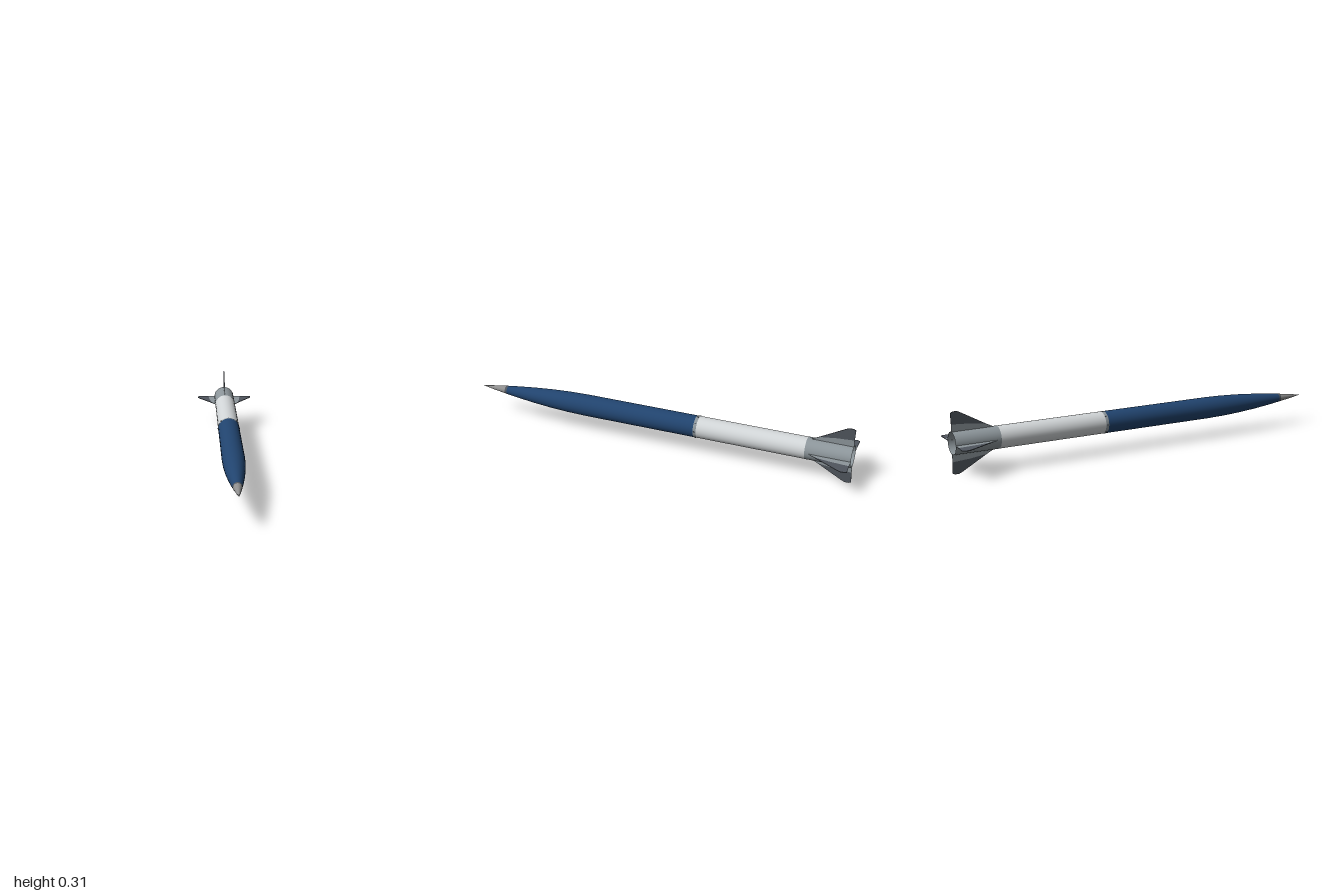
import * as THREE from 'three';

const AXIS_Y = 0.153, R = 0.0555;

const paint = (name, color, side = THREE.FrontSide) => {
  const m = new THREE.MeshStandardMaterial({ color, side });
  m.name = name;
  return m;
};

export function createModel() {
  const blue = paint('navy blue', 0x21446f);
  const white = paint('off white', 0xd2d6d8);
  const steel = paint('steel grey', 0x8d969b, THREE.DoubleSide);
  const tipGrey = paint('nose grey', 0x8f8f8f);
  const dark = paint('dark grey', 0x50565e);

  const model = new THREE.Group();
  model.name = 'rocket';
  const body = new THREE.Group();
  body.name = 'rocketBody';
  body.position.y = AXIS_Y;
  model.add(body);

  const add = (name, geometry, material, parent = body) => {
    const mesh = new THREE.Mesh(geometry, material);
    mesh.name = name;
    parent.add(mesh);
    return mesh;
  };
  // Turned part along z, from [radius, z] points running tail to nose
  const turned = (name, points, material) =>
    add(name, new THREE.LatheGeometry(points.map(([r, z]) => new THREE.Vector2(r, z)), 40)
      .rotateX(Math.PI / 2), material);

  // Nose tip, its dark collar and the tapering front stage
  turned('noseTip', [[0.0205, 0.865], [0.011, 0.935], [0, 1]], tipGrey);
  turned('noseCollar', [[0.0225, 0.853], [0.021, 0.865], [0.0195, 0.866]], dark);
  turned('frontStage', [[R, -0.2], [R, 0.3], [R, 0.4], [0.0533, 0.5], [0.048, 0.6],
    [0.0398, 0.7], [0.029, 0.8], [0.0215, 0.858]], blue);

  // Stage joint with studs around it
  turned('stageJoint', [[R, -0.214], [0.0562, -0.211], [0.0562, -0.201], [R, -0.198]], steel);
  for (let i = 0; i < 8; i++) {
    const a = i * Math.PI / 4;
    const stud = add('jointStud', new THREE.BoxGeometry(0.004, 0.006, 0.009), dark);
    stud.position.set(Math.sin(a) * 0.0555, Math.cos(a) * 0.0555, -0.207);
    stud.rotation.z = -a;
  }

  // Rear stage, open tail tube and the bulkhead inside it
  turned('rearStage', [[R, -0.77], [R, -0.21]], white);
  turned('tailTube', [[R, -0.998], [0.0558, -0.77], [R, -0.769]], steel);
  turned('tailBulkhead', [[0, -0.8], [0.055, -0.8]], steel);

  // Four fins: light root panel and dark outer panel, drawn as [radius, z]
  const plate = (points, thickness) => {
    const shape = new THREE.Shape(points.map(([r, z]) => new THREE.Vector2(r, z)));
    return new THREE.ExtrudeGeometry(shape, { depth: thickness, bevelEnabled: false })
      .translate(0, 0, -thickness / 2)
      .rotateX(Math.PI / 2);
  };
  const rootPanel = plate([[0.054, -0.785], [0.075, -0.826], [0.086, -0.91],
    [0.092, -0.998], [0.054, -0.998]], 0.003);
  const outerPanel = plate([[0.075, -0.826], [0.146, -0.952], [0.153, -0.968], [0.153, -0.988],
    [0.147, -1], [0.092, -0.998], [0.086, -0.91]], 0.003);
  for (let i = 0; i < 4; i++) {
    const fin = new THREE.Group();
    fin.name = 'fin';
    fin.rotation.z = i * Math.PI / 2;
    body.add(fin);
    add('finRootPanel', rootPanel, steel, fin);
    add('finOuterPanel', outerPanel, dark, fin);
  }
  return model;
}
